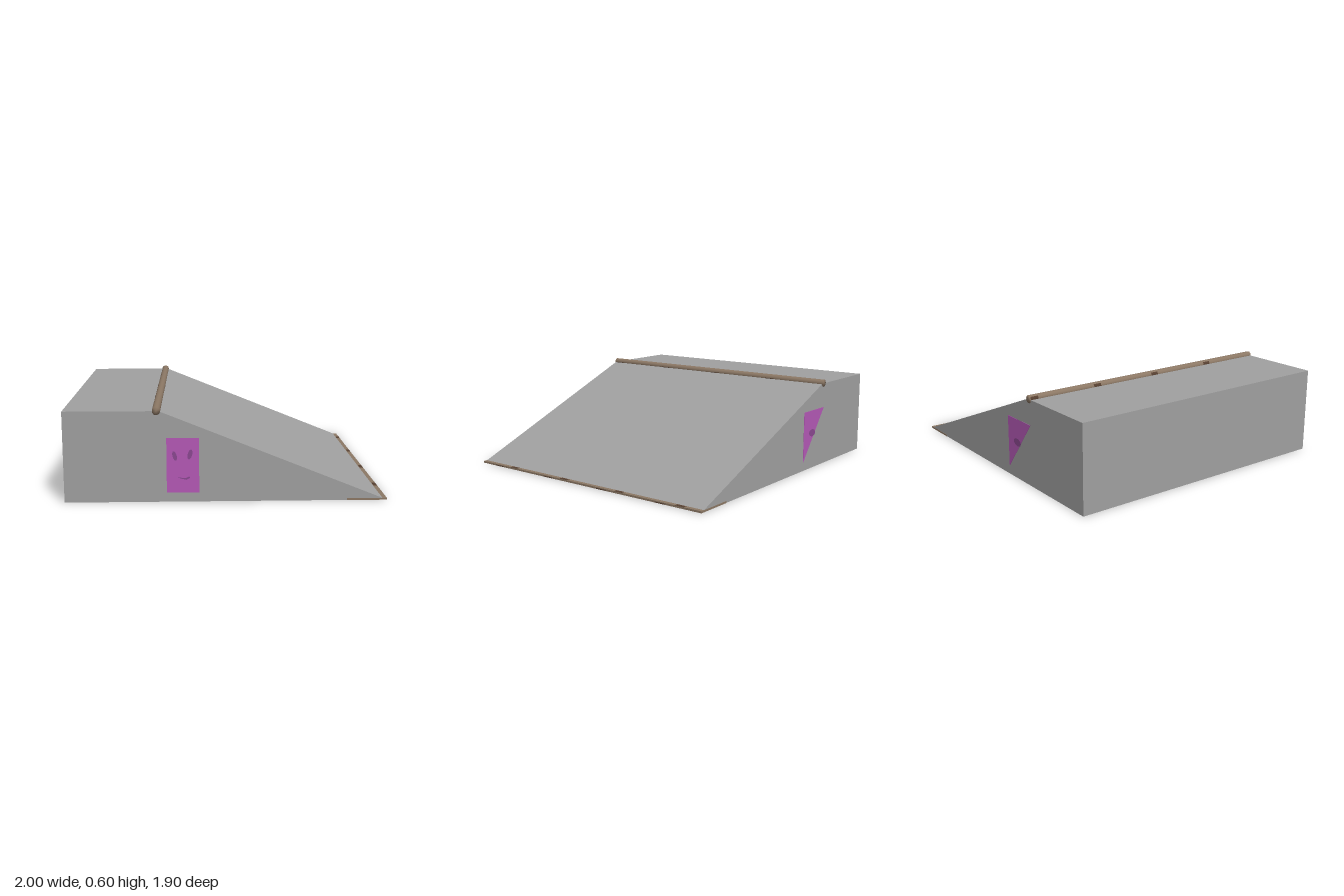
import * as THREE from 'three';
import { mergeVertices } from 'three/addons/utils/BufferGeometryUtils.js';

const HALF = 0.95; // half depth along z

function material(name, color) {
  const m = new THREE.MeshStandardMaterial({ color });
  m.name = name;
  return m;
}

export function createModel() {
  const root = new THREE.Group();
  const concrete = material('concrete grey', 0xa0a0a0);
  const steel = material('worn tan steel', 0x8c7865);
  const rust = material('dark rust', 0x574031);
  const poster = material('magenta paint', 0xb459b6);
  const ink = material('faded purple', 0x8a4890);

  const add = (name, geometry, mat, x = 0, y = 0, z = 0) => {
    const mesh = new THREE.Mesh(geometry, mat);
    mesh.name = name;
    mesh.position.set(x, y, z);
    root.add(mesh);
    return mesh;
  };
  // Outline extruded along z, starting at z
  const slab = (name, points, depth, z, mat) => {
    const shape = new THREE.Shape(points.map(([x, y]) => new THREE.Vector2(x, y)));
    return add(name, new THREE.ExtrudeGeometry(shape, { depth, bevelEnabled: false }), mat, 0, 0, z);
  };
  // Flat ellipse facing +z or -z
  const blot = (name, x, y, z, w, h, tilt, mat, back = false) => {
    const g = new THREE.CircleGeometry(0.5, 14).scale(w, h, 1).rotateZ(tilt);
    if (back) g.rotateY(Math.PI);
    return add(name, g, mat, x, y, z);
  };

  // Ramp block with a flat deck
  slab('rampBlock', [[-1, 0.002], [0.975, 0.002], [0.975, 0.012], [-0.415, 0.572], [-1, 0.572]],
    2 * HALF - 0.006, -HALF + 0.003, concrete);

  // Steel plate under the toe of the ramp
  add('toePlate', new THREE.BoxGeometry(0.25, 0.012, 2 * HALF - 0.002), steel, 0.874, 0.0075, 0);

  // Coping pipe, with normals smoothed over its end caps
  let pipe = new THREE.CylinderGeometry(0.025, 0.025, 2 * HALF, 18);
  pipe.deleteAttribute('uv');
  pipe.deleteAttribute('normal');
  pipe = mergeVertices(pipe, 1e-4);
  pipe.computeVertexNormals();
  pipe.rotateX(Math.PI / 2);
  add('copingPipe', pipe, steel, -0.43, 0.573, 0);

  // Rust patches repeating along pipe and toe plate
  const rad = THREE.MathUtils.degToRad;
  const patch = (z, from, to, length) => add('pipeRust',
    new THREE.CylinderGeometry(0.0256, 0.0256, length, 4, 1, true, rad(from), rad(to - from))
      .rotateX(Math.PI / 2), rust, -0.43, 0.573, z);
  for (let i = 0; i < 4; i++) {
    const step = i * 0.475;
    patch(-0.92 + step, 225, 270, 0.055);
    patch(0.9 - step, 62, 88, 0.07);
    add('toeRustTop', new THREE.BoxGeometry(0.024, 0.001, 0.065), rust, 0.987, 0.0137, -0.79 + step);
    add('toeRustEdge', new THREE.BoxGeometry(0.001, 0.006, 0.08), rust, 0.9995, 0.005, 0.78 - step);
    add('toeRustBottom', new THREE.CylinderGeometry(0.05, 0.05, 0.001, 12).scale(0.8, 1, 1),
      rust, 0.876, 0.0008, -0.895 + step);
  }

  // Painted rectangle with a face on the front
  slab('frontPanel', [[-0.37, 0.06], [-0.17, 0.06], [-0.17, 0.405], [-0.37, 0.405]], 0.002, HALF - 0.003, poster);
  const front = HALF + 0.0005;
  blot('eyeRight', -0.32, 0.293, front, 0.026, 0.062, 0.25, ink);
  blot('eyeLeft', -0.226, 0.302, front, 0.028, 0.064, -0.25, ink);
  const mouth = [[-0.307, 0.158], [-0.28, 0.149], [-0.25, 0.142], [-0.225, 0.155], [-0.232, 0.162],
    [-0.252, 0.153], [-0.28, 0.155]];
  slab('mouth', mouth, 0.0015, HALF - 0.001, ink);

  // Painted triangle with one blot on the back
  slab('backPanel', [[-0.17, 0.06], [-0.17, 0.405], [-0.44, 0.405]], 0.002, -HALF + 0.001, poster);
  blot('backBlot', -0.28, 0.25, -HALF - 0.0005, 0.085, 0.05, -0.1, ink, true);

  return root;
}
